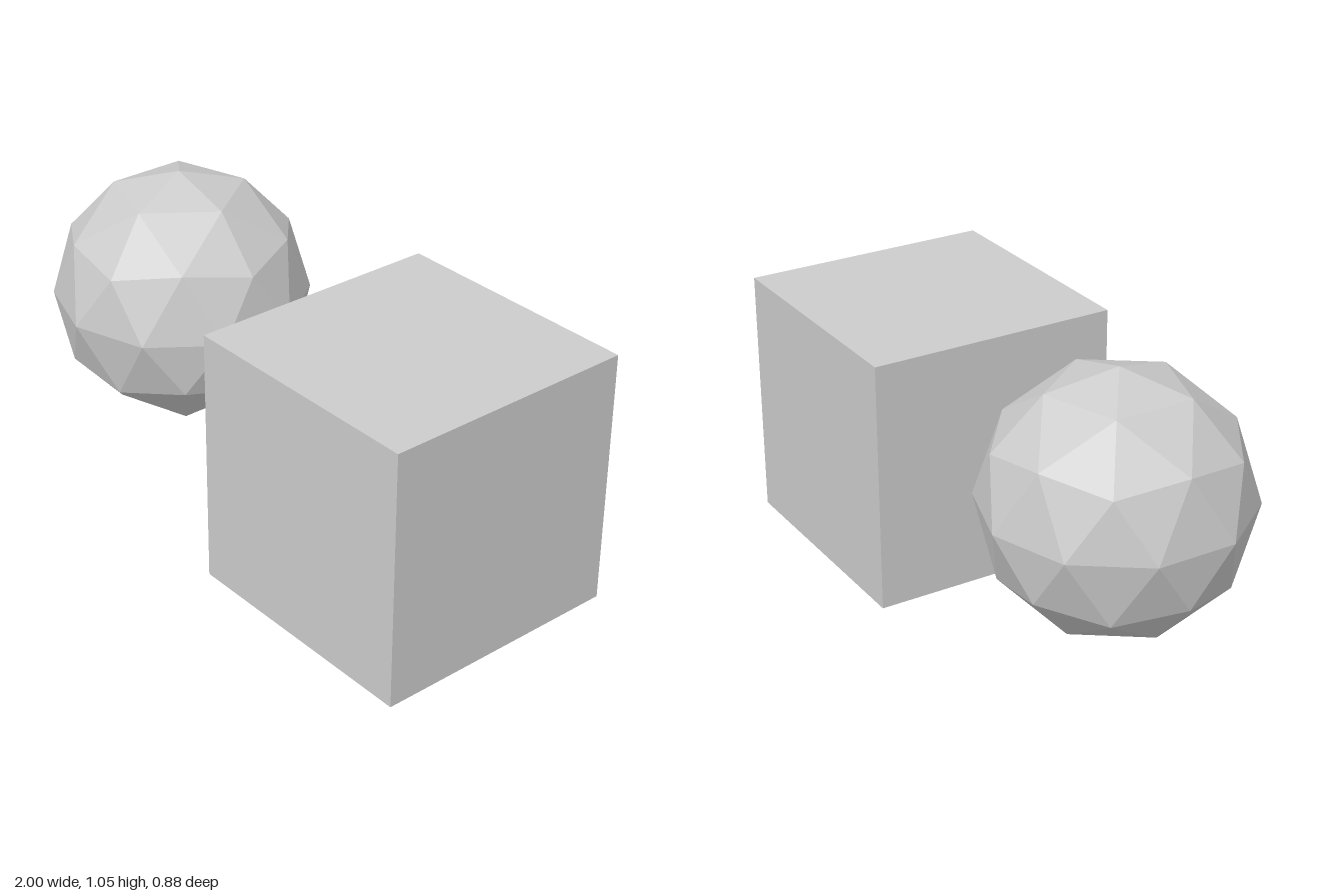
import * as THREE from 'three';

export function createModel() {
  const group = new THREE.Group();
  const material = new THREE.MeshStandardMaterial({ color: 0xcccccc, flatShading: true });
  const radius = 0.4385;
  const size = radius * 2;

  // Cube standing on the ground
  const cube = new THREE.Mesh(new THREE.BoxGeometry(size, size, size), material);
  cube.name = 'cube';
  cube.position.set(1 - radius, radius, 0);
  group.add(cube);

  // Faceted ball, turned so that one of its five-sided corners points straight up
  const ballGeometry = new THREE.IcosahedronGeometry(radius, 1);
  const goldenRatio = (1 + Math.sqrt(5)) / 2;
  ballGeometry.rotateZ(-Math.atan(1 / goldenRatio));
  ballGeometry.computeVertexNormals();
  const ball = new THREE.Mesh(ballGeometry, material);
  ball.name = 'ball';
  ball.position.set(-1 + radius * Math.cos(Math.PI / 10), 0.611, 0);
  group.add(ball);

  return group;
}
